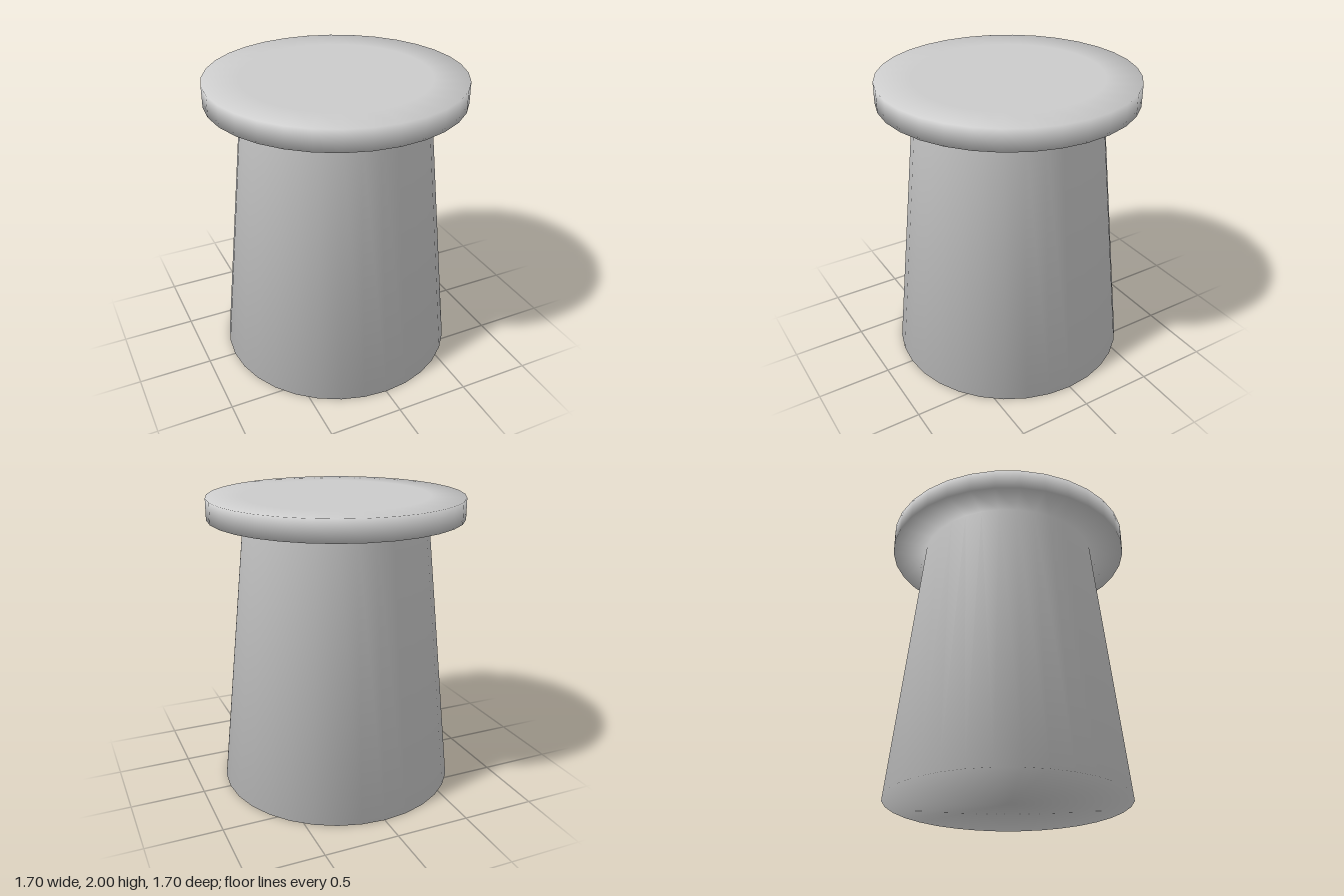
import * as THREE from 'three';

export function createModel() {
  const model = new THREE.Group();
  model.name = 'stool';

  // One continuous turned profile: closed base, tapered body, overhanging seat.
  // Shared smooth normals soften the shading across every rim.
  const profile = [
    [0, 0],
    [0.81, 0], // base rim
    [0.615, 1.86], // neck under the seat
    [0.85, 1.86], // seat underside rim
    [0.85, 2], // seat top rim
    [0.62, 2], // flat centre of the seat
    [0, 2],
  ].map(([r, y]) => new THREE.Vector2(r, y));

  const body = new THREE.Mesh(
    new THREE.LatheGeometry(profile, 32),
    new THREE.MeshStandardMaterial({ color: 0xcccccc })
  );
  body.name = 'taperedBodyAndSeat';
  model.add(body);

  return model;
}
